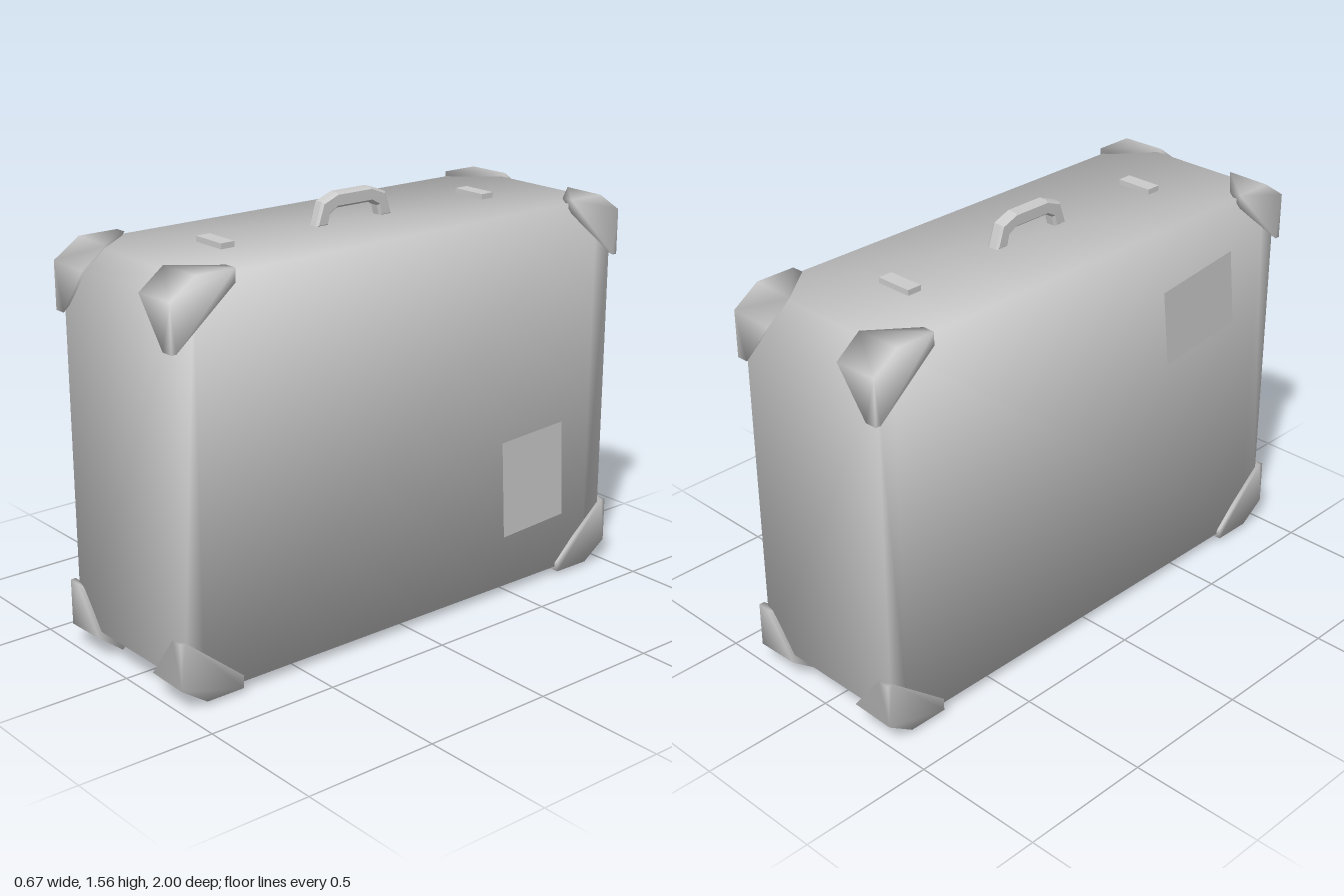
import * as THREE from 'three';
import { mergeVertices } from 'three/addons/utils/BufferGeometryUtils.js';
import { ConvexGeometry } from 'three/addons/geometries/ConvexGeometry.js';

const material = new THREE.MeshStandardMaterial({ color: 0xcccccc, side: THREE.DoubleSide });
const MID_Y = 0.7425; // height of the middle of the case

function add(parent, name, geometry, x = 0, y = 0, z = 0) {
  const mesh = new THREE.Mesh(geometry, material);
  mesh.name = name;
  mesh.position.set(x, y, z);
  parent.add(mesh);
  return mesh;
}

// Chamfered side profile carried across x, with soft normals over every edge
function bodyGeometry() {
  const halfX = 0.32, H = 0.7125, h = 0.645, L = 0.975, l = 0.9;
  // [z, y] around the profile
  const profile = [[L, -h], [L, h], [l, H], [-l, H], [-L, h], [-L, -h], [-l, -H], [l, -H]];
  const positions = [], normals = [], index = [];
  for (const side of [1, -1]) {
    for (const [z, y] of profile) {
      positions.push(side * halfX, y, z);
      const a = Math.abs(z) === L ? Math.PI / 8 : Math.PI * 3 / 8;
      const n = new THREE.Vector3(side, 1.25 * Math.sign(y) * Math.sin(a), 1.25 * Math.sign(z) * Math.cos(a)).normalize();
      normals.push(n.x, n.y, n.z);
    }
  }
  // rim between the two sides
  for (let i = 0; i < 8; i++) {
    const j = (i + 1) % 8;
    index.push(i, j, i + 8, j, j + 8, i + 8);
  }
  // broad sides: an end strip, the main panel, an end strip
  for (const [a, b, c, d] of [[0, 7, 2, 1], [7, 6, 3, 2], [6, 5, 4, 3]]) {
    index.push(a, b, c, a, c, d);
    index.push(a + 8, c + 8, b + 8, a + 8, d + 8, c + 8);
  }
  const g = new THREE.BufferGeometry();
  g.setAttribute('position', new THREE.Float32BufferAttribute(positions, 3));
  g.setAttribute('normal', new THREE.Float32BufferAttribute(normals, 3));
  g.setIndex(index);
  return g;
}

// Corner cap wrapping one chamfered corner, mirrored by the signs
function capGeometry(sx, sy, sz) {
  const points = [
    [0.336, 0.66, 1.0], [0.336, 0.7275, 0.9],      // chamfer on the broad side
    [0.166, 0.655, 1.0], [0.166, 0.7275, 0.905],   // inner tip along the end edge
    [0.336, 0.49, 1.0], [0.29, 0.49, 1.0], [0.336, 0.49, 0.98],       // upright tip
    [0.336, 0.7275, 0.75], [0.29, 0.7275, 0.75], [0.336, 0.68, 0.75], // lengthwise tip
  ].map(([x, y, z]) => new THREE.Vector3(x * sx, y * sy, z * sz));
  const g = new ConvexGeometry(points);
  g.deleteAttribute('normal');
  const smooth = mergeVertices(g, 1e-4);
  smooth.computeVertexNormals();
  return smooth;
}

// Low arch with slightly bevelled edges
function handleGeometry() {
  const arch = [
    [-0.162, 0], [-0.137, 0.072], [-0.075, 0.096], [0.075, 0.096], [0.137, 0.072], [0.162, 0],
    [0.122, 0], [0.113, 0.038], [0.078, 0.058], [-0.078, 0.058], [-0.113, 0.038], [-0.122, 0],
  ].map(([x, y]) => new THREE.Vector2(x, y));
  const g = new THREE.ExtrudeGeometry(new THREE.Shape(arch), {
    depth: 0.03, bevelEnabled: true, bevelThickness: 0.01, bevelSize: 0.008, bevelSegments: 1,
  });
  g.translate(0, 0, -0.015);
  g.rotateY(Math.PI / 2);
  return g;
}

// Flat label on a broad side, tilted counterclockwise as seen from outside
function addLabel(parent, name, side, x, y, z, width, height, tilt) {
  const label = add(parent, name, new THREE.PlaneGeometry(width, height), side * x, y, z);
  label.rotation.set(0, side * Math.PI / 2, tilt);
}

export function createModel() {
  const model = new THREE.Group();
  model.name = 'suitcase';

  add(model, 'body', bodyGeometry(), 0, MID_Y, 0);

  const caps = new THREE.Group();
  caps.name = 'cornerCaps';
  model.add(caps);
  for (const sx of [1, -1])
    for (const sy of [1, -1])
      for (const sz of [1, -1])
        add(caps, 'cornerCap', capGeometry(sx, sy, sz), 0, MID_Y, 0);

  add(model, 'handle', handleGeometry(), 0, 1.458, 0.005);

  for (const s of [1, -1]) {
    add(model, 'latch', new THREE.BoxGeometry(0.14, 0.03, 0.055), 0, 1.46, s * 0.585);
    add(model, 'foot', new THREE.BoxGeometry(0.312, 0.05, 0.095), 0, 0.025, s * 0.588);
  }

  addLabel(model, 'leftLabel', 1, 0.326, 0.427, -0.608, 0.306, 0.378, 0.055);
  addLabel(model, 'rightLabel', -1, 0.334, 1.095, 0.55, 0.37, 0.3, 0.12);

  return model;
}
